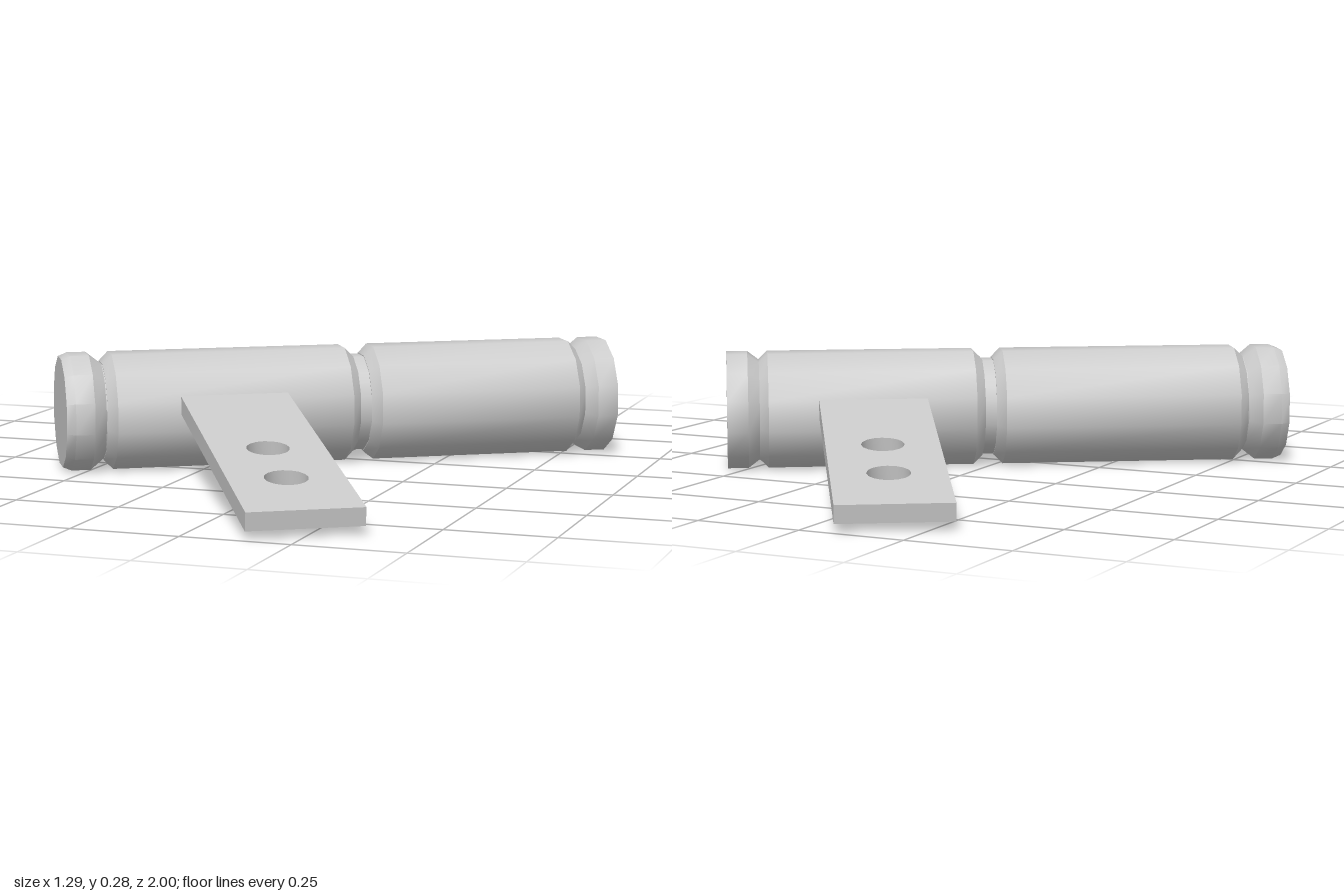
import * as THREE from 'three';
import { toCreasedNormals } from 'three/addons/utils/BufferGeometryUtils.js';

const SIDES = 12;
const R = 0.1424;        // corner radius of the 12-sided barrel
const AXIS_Y = 0.1375;
const AXIS_Z = -0.009;

const material = new THREE.MeshStandardMaterial({ color: 0xcccccc });

// Turned part along x; profile is a list of [x, radius]
function turned(name, profile) {
  const points = profile.map(([x, r]) => new THREE.Vector2(r, x));
  const geometry = new THREE.LatheGeometry(points, SIDES, Math.PI / SIDES);
  geometry.rotateZ(-Math.PI / 2);
  const mesh = new THREE.Mesh(toCreasedNormals(geometry, 0.6), material);
  mesh.name = name;
  mesh.position.set(0, AXIS_Y, AXIS_Z);
  return mesh;
}

// Barrel half with chamfered ends
function sleeve(name, x0, x1) {
  const c = 0.022, r = R - 0.022;
  return turned(name, [[x0, 0], [x0, r], [x0 + c, R], [x1 - c, R], [x1, r], [x1, 0]]);
}

// Sloping mounting plate with two screw holes, pointing to +z or -z
function leaf(name, xCentre, side, reach) {
  const width = 0.258, thickness = 0.042, slope = 0.155, start = 0.08;
  const length = (reach - start) / Math.cos(slope);
  const shape = new THREE.Shape();
  shape.moveTo(-width / 2, 0);
  shape.lineTo(width / 2, 0);
  shape.lineTo(width / 2, length);
  shape.lineTo(-width / 2, length);
  shape.closePath();
  for (const fromEnd of [0.205, 0.406]) {
    const hole = new THREE.Path();
    hole.absarc(0, length - fromEnd, 0.049, 0, Math.PI * 2, true);
    shape.holes.push(hole);
  }
  const geometry = new THREE.ExtrudeGeometry(shape, { depth: thickness, bevelEnabled: false, curveSegments: 8 });
  geometry.rotateX(Math.PI / 2);
  geometry.rotateX(slope);
  geometry.translate(0, 0.06 + length * Math.sin(slope), start);
  if (side < 0) geometry.rotateY(Math.PI);
  const mesh = new THREE.Mesh(toCreasedNormals(geometry, 0.9), material);
  mesh.name = name;
  mesh.position.x = xCentre;
  return mesh;
}

export function createModel() {
  const model = new THREE.Group();
  model.name = 'barrelHinge';
  const hinge = new THREE.Group();
  hinge.name = 'hinge';
  hinge.rotation.y = 0.562;

  // Barrel: two knuckles around a pin
  hinge.add(
    sleeve('frontKnuckle', -0.578, 0.035),
    sleeve('backKnuckle', 0.062, 0.602),
    turned('pin', [[-0.62, 0], [-0.62, 0.118], [0.64, 0.118], [0.64, 0]]),
  );

  // End caps
  hinge.add(
    turned('leftCap', [[0.596, 0], [0.596, 0.118], [0.628, R], [0.678, R], [0.678, 0]]),
    turned('rightCap', [[-0.676, 0], [-0.676, 0.134], [-0.655, R], [-0.61, R], [-0.58, 0.118], [-0.58, 0]]),
  );

  // Mounting leaves
  hinge.add(leaf('frontLeaf', -0.277, 1, 0.922), leaf('backLeaf', 0.332, -1, 0.89));

  model.add(hinge);
  return model;
}
